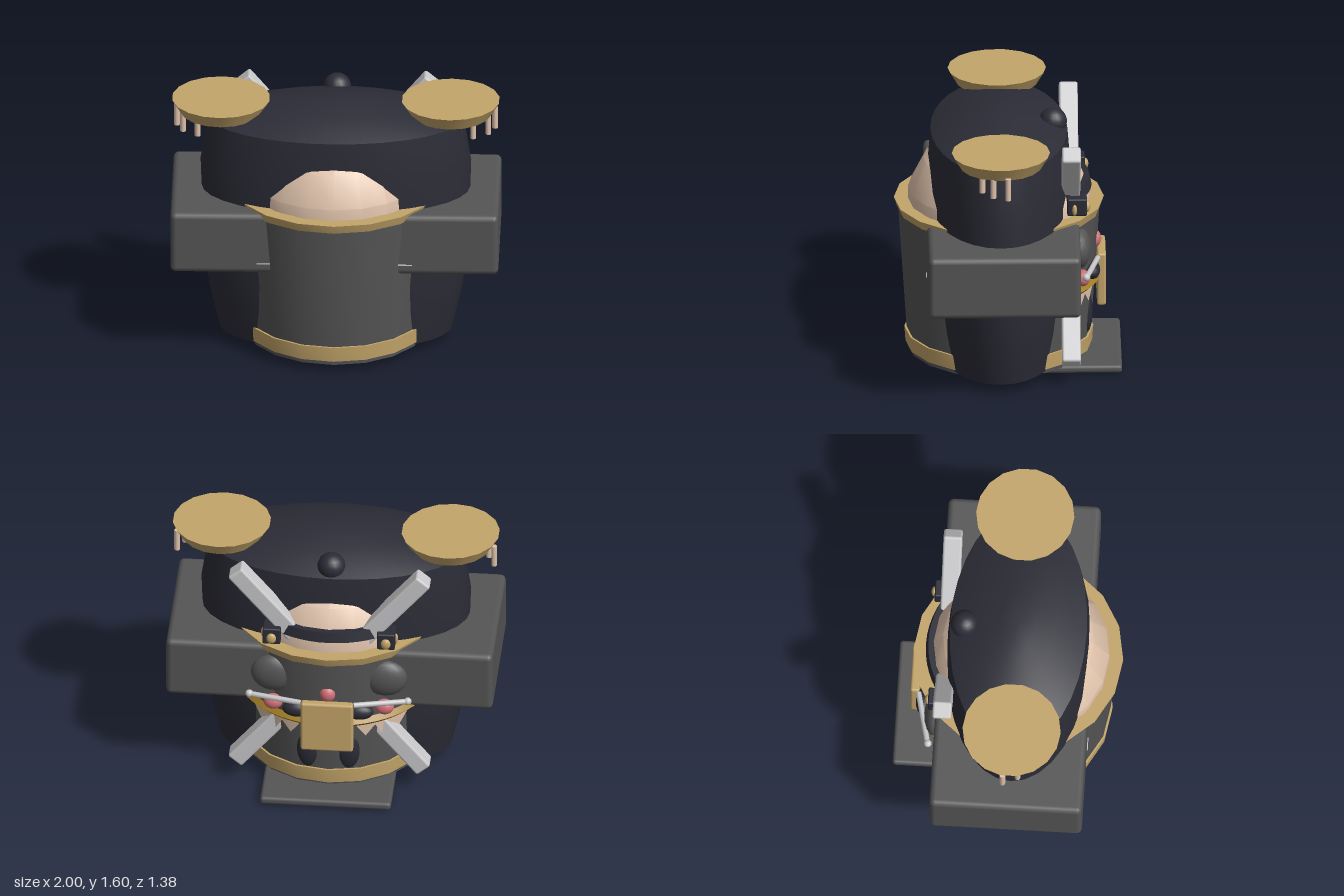
import * as THREE from 'three';
import { toCreasedNormals } from 'three/addons/utils/BufferGeometryUtils.js';
import { RoundedBoxGeometry } from 'three/addons/geometries/RoundedBoxGeometry.js';

const mat = (name, color, side = THREE.FrontSide) => {
  const m = new THREE.MeshStandardMaterial({ color, side });
  m.name = name;
  return m;
};

export function createModel() {
  const model = new THREE.Group();
  const navy = mat('navy cloth', 0x2b2c36);
  const grey = mat('grey cloth', 0x555555);
  const gold = mat('pale gold', 0xc4a56a);
  const darkGold = mat('dark gold', 0xa07c22);
  const skin = mat('skin', 0xe0c3ac, THREE.DoubleSide);
  const pink = mat('pink', 0xd27078);
  const silver = mat('silver', 0xc9c9cb);
  const CZ = 0.05; // depth of the shared vertical axis

  const add = (name, geo, material, x = 0, y = 0, z = 0) => {
    const mesh = new THREE.Mesh(geo, material);
    mesh.name = name;
    mesh.position.set(x, y, z);
    model.add(mesh);
    return mesh;
  };
  const lathe = (name, pts, segs, material, depth = 1) => {
    const g = new THREE.LatheGeometry(pts.map(p => new THREE.Vector2(...p)), segs);
    g.scale(1, 1, depth);
    return add(name, toCreasedNormals(g, 0.5), material, 0, 0, CZ);
  };
  const box = (name, w, h, d, r, material, x, y, z) =>
    add(name, new RoundedBoxGeometry(w, h, d, 2, r), material, x, y, z);
  const ball = (name, rx, ry, rz, material, x, y, z) => {
    const m = add(name, new THREE.SphereGeometry(1, 16, 12), material, x, y, z);
    m.scale.set(rx, ry, rz);
    return m;
  };
  const rod = (name, r, a, b, material) => {
    const curve = new THREE.LineCurve3(new THREE.Vector3(...a), new THREE.Vector3(...b));
    return add(name, new THREE.TubeGeometry(curve, 1, r, 8), material);
  };

  // Wide oval hair mass with a small bun
  lathe('hair', [[0, 0], [0.71, 0.065], [0.765, 0.3], [0.795, 0.48], [0.812, 0.8], [0.825, 1.18],
    [0.78, 1.47], [0.62, 1.515], [0.42, 1.555], [0.2, 1.587], [0, 1.6]], 32, navy, 0.535);
  ball('bun', 0.086, 0.086, 0.086, navy, 0, 1.51, -0.28);

  // Torso: skin shoulders, tapered garment and its trims
  lathe('shoulders', [[0.555, 0.95], [0.555, 1.09], [0.46, 1.28], [0.3, 1.4]], 20, skin);
  lathe('garment', [[0, 0.05], [0.555, 0.05], [0.615, 0.98], [0.55, 0.98]], 18, grey);
  lathe('collarTrim', [[0.555, 0.965], [0.622, 0.965], [0.64, 1.02], [0.557, 1.02], [0.555, 0.965]], 18, gold);
  lathe('hemTrim', [[0.55, 0.078], [0.569, 0.078], [0.576, 0.173], [0.55, 0.173]], 18, gold);

  // Waist sash round the back
  const half = 0.97;
  const sash = new THREE.TorusGeometry(0.597, 0.029, 4, 20, half * 2);
  sash.rotateZ(-Math.PI / 2 - half);
  sash.rotateX(Math.PI / 2);
  add('sash', toCreasedNormals(sash, 0.5), darkGold, 0, 0.535, CZ);

  // Ragged openings below the sash
  for (const s of [-1, 1]) {
    const pos = [], idx = [], lows = [0.5, 0.42, 0.49, 0.4, 0.47, 0.43, 0.5];
    lows.forEach((low, i) => {
      const a = Math.PI + s * (0.3 + i * 0.1);
      for (const y of [0.56, low]) {
        const r = 0.562 + 0.0645 * y;
        pos.push(Math.sin(a) * r, y, Math.cos(a) * r);
      }
      if (i) idx.push(2 * i - 2, 2 * i - 1, 2 * i, 2 * i, 2 * i - 1, 2 * i + 1);
    });
    const g = new THREE.BufferGeometry();
    g.setAttribute('position', new THREE.Float32BufferAttribute(pos, 3));
    g.setIndex(idx);
    g.computeVertexNormals();
    add('waistOpening', g, skin, 0, 0, CZ);
  }

  // Neck strap: thin band round the back of the shoulders
  const arc = new THREE.LatheGeometry([[0.53, 1.1], [0.565, 1.1], [0.55, 1.165], [0.51, 1.165]]
    .map(p => new THREE.Vector2(...p)), 14, Math.PI - 0.75, 1.5);
  add('neckStrap', toCreasedNormals(arc, 0.5), navy, 0, 0, CZ);

  // Back plate and foot slab
  box('backPlate', 0.32, 0.34, 0.055, 0.015, gold, 0, 0.53, -0.573);
  box('footSlab', 0.8, 0.05, 0.5, 0.02, grey, 0, 0.035, -0.445);
  ball('bead', 0.05, 0.055, 0.045, pink, 0, 0.74, -0.53);

  for (const s of [-1, 1]) {
    // Sleeves
    box('sleeve', 0.75, 0.395, 0.93, 0.035, grey, s * 0.625, 0.805, 0.03);

    // Flared discs with hanging rods
    add('disc', toCreasedNormals(new THREE.CylinderGeometry(0.3, 0.25, 0.085, 18), 0.5), gold, s * 0.7, 1.542, CZ);
    for (const [x, z] of [[0.97, 0.01], [0.93, 0.1], [0.84, 0.165]])
      add('hangingRod', new THREE.CylinderGeometry(0.018, 0.018, 0.14, 8), skin, s * x, 1.45, z);

    // Crossed bars
    box('crossedBar', 0.11, 1.8, 0.115, 0.015, silver, 0, 0.833, -0.3825).rotation.z = s * 0.698;

    // Strap ends with studs
    box('strapEnd', 0.11, 0.11, 0.12, 0.01, navy, s * 0.35, 1.1, -0.42);
    ball('stud', 0.03, 0.036, 0.02, gold, s * 0.35, 1.09, -0.482);
    ball('sideStud', 0.015, 0.036, 0.015, gold, s * 0.405, 1.085, -0.405);

    // Bow pieces, beads and pins
    ball('bowLoop', 0.14, 0.125, 0.07, grey, s * 0.34, 0.815, -0.435);
    ball('bowKnot', 0.09, 0.052, 0.05, navy, s * 0.19, 0.61, -0.515);
    ball('bowTail', 0.075, 0.14, 0.04, navy, s * 0.12, 0.31, -0.48);
    ball('bead', 0.06, 0.05, 0.045, pink, s * 0.34, 0.615, -0.455);
    rod('pin', 0.017, [s * 0.16, 0.675, -0.55], [s * 0.49, 0.675, -0.475], silver);
    ball('pinEnd', 0.024, 0.024, 0.024, silver, s * 0.485, 0.675, -0.475);
    rod('frontCord', 0.004, [s * 0.39, 0.675, 0.497], [s * 0.475, 0.675, 0.497], silver);
  }
  return model;
}
